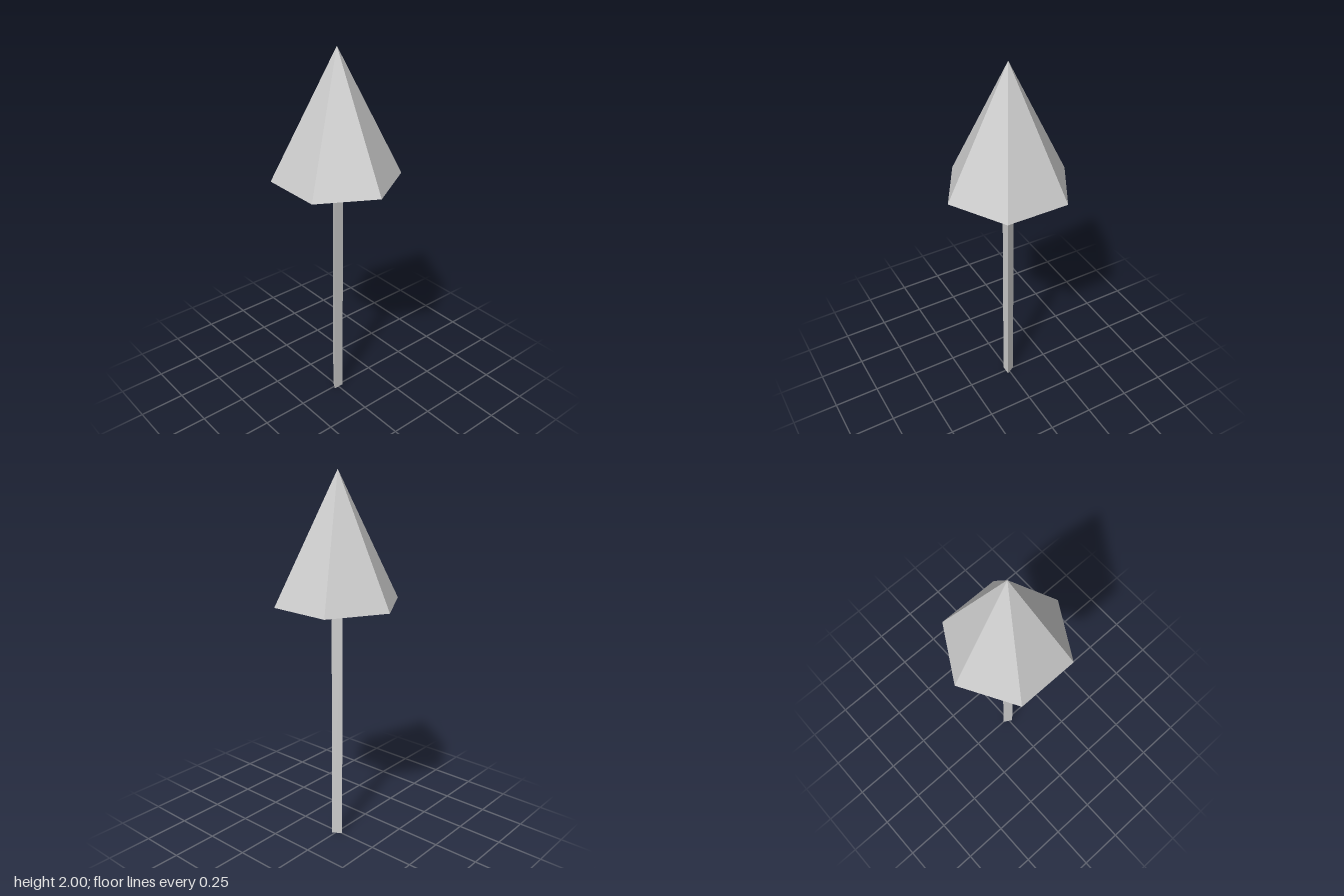
import * as THREE from 'three';

export function createModel() {
  const group = new THREE.Group();
  const material = new THREE.MeshStandardMaterial({ color: 0xcccccc, flatShading: true });
  const headBase = 1.34, top = 2;

  const addPart = (name, geometry, y) => {
    const mesh = new THREE.Mesh(geometry, material);
    mesh.name = name;
    mesh.position.y = y;
    group.add(mesh);
  };

  // Three-sided shaft, flat side to the front and one edge to the back
  const shaft = new THREE.CylinderGeometry(0.033, 0.033, headBase, 3);
  shaft.rotateY(Math.PI);
  addPart('shaft', shaft, headBase / 2);

  // Six-sided pointed head with a closed base
  addPart('head', new THREE.ConeGeometry(0.333, top - headBase, 6), (headBase + top) / 2);

  return group;
}
